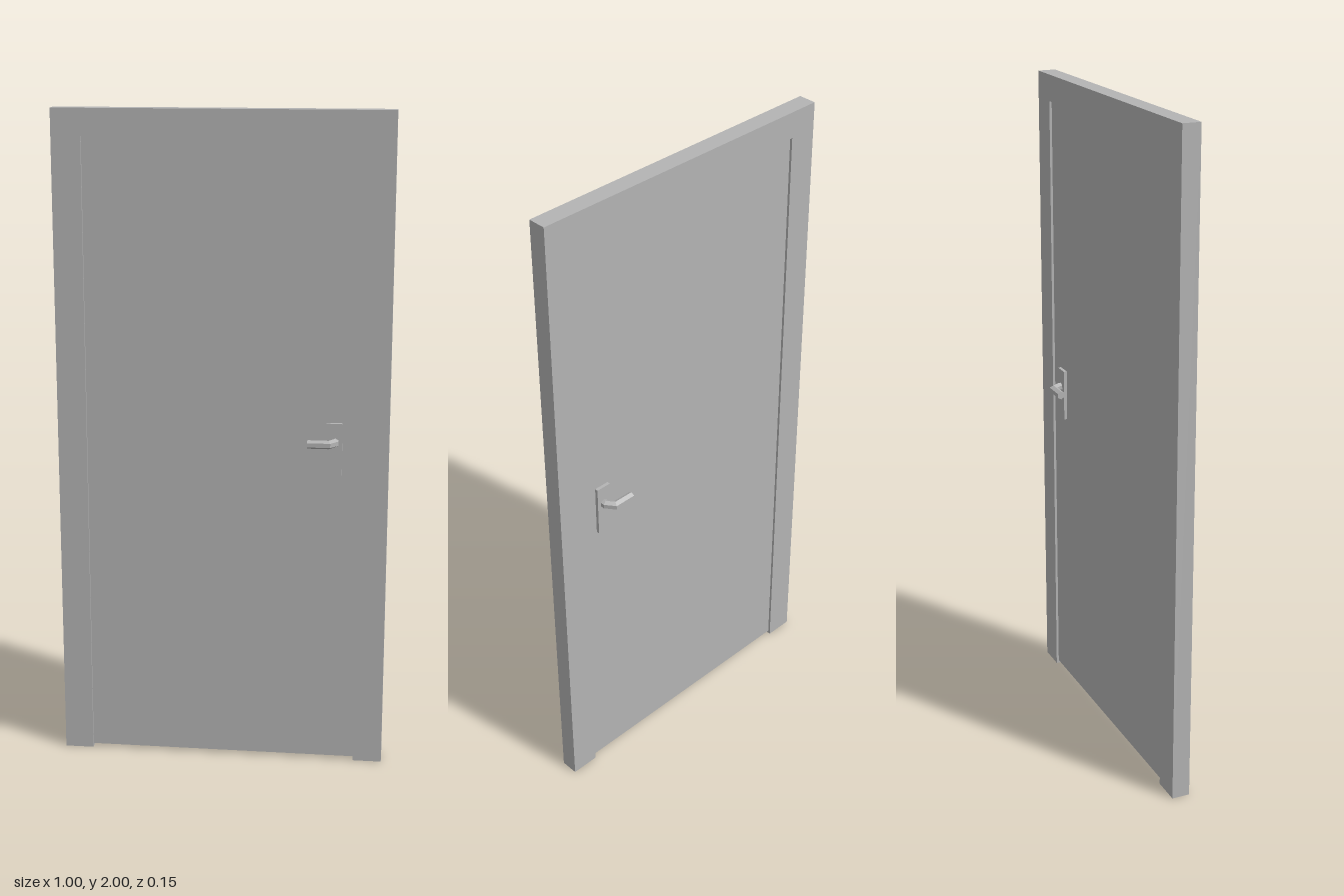
import * as THREE from 'three';

const grey = new THREE.MeshStandardMaterial({ color: 0xb4b4b4 });
grey.name = 'plain grey';

function add(parent, name, geometry, x = 0, y = 0, z = 0) {
  const mesh = new THREE.Mesh(geometry, grey);
  mesh.name = name;
  mesh.position.set(x, y, z);
  parent.add(mesh);
}

// Sweep a hexagon along a horizontal path of [x, z] points, with mitred bends
function hexBar(path, radius) {
  const sides = 6, last = path.length - 1, pos = [], index = [];
  const pts = path.map(([x, z]) => new THREE.Vector2(x, z));
  const normal = (a, b) => new THREE.Vector2(a.y - b.y, b.x - a.x).normalize();
  pts.forEach((p, i) => {
    const before = normal(pts[Math.max(i - 1, 0)], pts[Math.max(i, 1)]);
    const after = normal(pts[Math.min(i, last - 1)], pts[Math.min(i + 1, last)]);
    const n = before.clone().add(after).normalize();
    n.divideScalar(n.dot(after));
    for (let j = 0; j < sides; j++) {
      const a = (j + 0.5) * Math.PI / 3;
      const w = radius * Math.cos(a);
      pos.push(p.x + n.x * w, radius * Math.sin(a), p.y + n.y * w);
    }
  });
  for (let i = 0; i < last; i++) {
    for (let j = 0; j < sides; j++) {
      const a = i * sides + j, b = i * sides + (j + 1) % sides;
      index.push(a, a + sides, b, b, a + sides, b + sides);
    }
  }
  const end = last * sides;
  for (let j = 1; j < sides - 1; j++) index.push(0, j, j + 1, end, end + j + 1, end + j);
  const indexed = new THREE.BufferGeometry();
  indexed.setAttribute('position', new THREE.Float32BufferAttribute(pos, 3));
  indexed.setIndex(index);
  const geometry = indexed.toNonIndexed();
  geometry.computeVertexNormals();
  return geometry;
}

export function createModel() {
  const model = new THREE.Group();
  model.name = 'door';

  // Frame: two jambs and a header in one piece
  const outline = [[-0.5, 0], [-0.412, 0], [-0.412, 1.92], [0.412, 1.92],
    [0.412, 0], [0.5, 0], [0.5, 2], [-0.5, 2]];
  const shape = new THREE.Shape(outline.map(([x, y]) => new THREE.Vector2(x, y)));
  add(model, 'frame', new THREE.ExtrudeGeometry(shape, { depth: 0.055, bevelEnabled: false }), 0, 0, -0.0275);

  // Door leaf, set back from both faces and lifted off the floor
  add(model, 'doorLeaf', new THREE.BoxGeometry(0.824, 1.91, 0.04), 0, 0.965, 0);

  // Plate and lever on each face
  for (const [side, s] of [['front', 1], ['back', -1]]) {
    const handle = new THREE.Group();
    handle.name = side + 'Handle';
    add(handle, 'plate', new THREE.BoxGeometry(0.048, 0.16, 0.01), 0.337, 1.005, s * 0.025);
    const path = [[0.259, 0.062], [0.322, 0.062], [0.339, 0.039], [0.339, 0.015]];
    add(handle, 'lever', hexBar(path.map(([x, z]) => [x, s * z]), 0.013), 0, 1.028, 0);
    model.add(handle);
  }
  return model;
}
